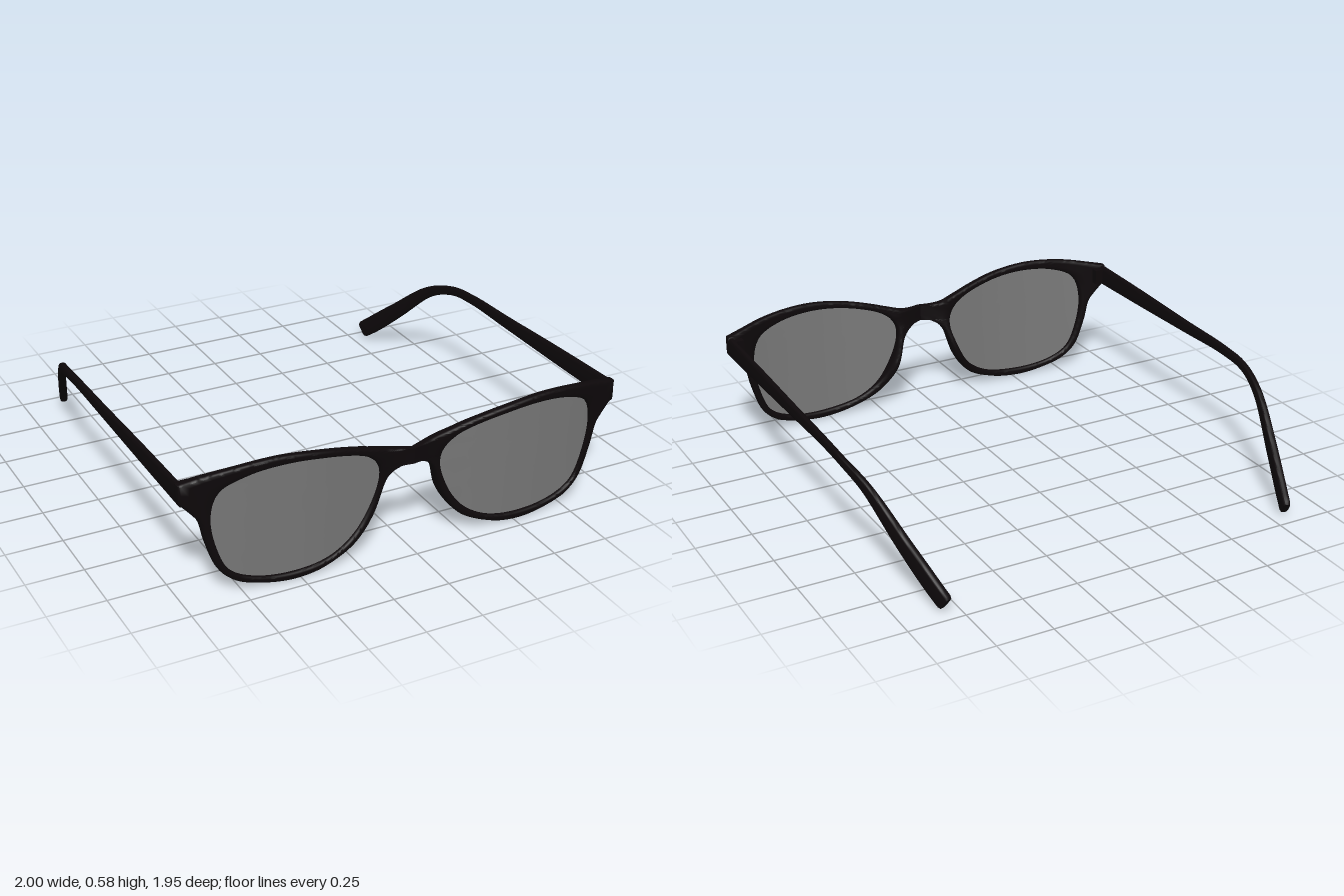
import * as THREE from 'three';
import { toCreasedNormals } from 'three/addons/utils/BufferGeometryUtils.js';

const V2 = (p) => new THREE.Vector2(p[0], p[1]);
const frameMat = new THREE.MeshStandardMaterial({ color: 0x0d080a });
const lensMat = new THREE.MeshStandardMaterial({ color: 0x787878, side: THREE.DoubleSide });
const centre = new THREE.Vector2(0.5, 0.38); // middle of the lens opening

// Smooth table lookup: z as a function of x
function lookup(points) {
  const pts = new THREE.SplineCurve(points.map(V2)).getPoints(160);
  return (x) => {
    let i = 0;
    while (i < pts.length - 2 && pts[i + 1].x < x) i++;
    const t = (x - pts[i].x) / (pts[i + 1].x - pts[i].x);
    return THREE.MathUtils.lerp(pts[i].y, pts[i + 1].y, THREE.MathUtils.clamp(t, 0, 1));
  };
}
const frontCurve = lookup([[0, 0.95], [0.1, 0.93], [0.2, 0.94], [0.45, 0.965], [0.75, 0.945], [0.92, 0.91], [1, 0.895]]);
const thickCurve = lookup([[0, 0.026], [0.1, 0.04], [0.2, 0.042], [0.45, 0.038], [0.75, 0.036], [1, 0.045]]);
const frontZ = (x, y) => frontCurve(x) + 0.05 * (y - 0.3);
// The back swells into a nose rest beside the bridge
const thickness = (x, y) => thickCurve(x)
  + 0.035 * Math.exp(-(((x - 0.16) / 0.08) ** 2) - ((y - 0.23) / 0.13) ** 2);

// Skin a series of closed rings; side = -1 gives the mirrored part
function loft(rings, side, { closed = false, caps = false, crease = 0.7 } = {}) {
  const n = rings[0].length, pos = [], idx = [];
  const tri = (a, b, c) => (side > 0 ? idx.push(a, b, c) : idx.push(a, c, b));
  rings.flat().forEach((p) => pos.push(p.x * side, p.y, p.z));
  const last = closed ? rings.length : rings.length - 1;
  for (let i = 0; i < last; i++) {
    for (let j = 0; j < n; j++) {
      const k = (j + 1) % n, a = i * n, b = ((i + 1) % rings.length) * n;
      tri(a + j, a + k, b + k);
      tri(a + j, b + k, b + j);
    }
  }
  if (caps) {
    const e = (rings.length - 1) * n;
    for (let j = 1; j < n - 1; j++) {
      tri(0, j + 1, j);
      tri(e, e + j, e + j + 1);
    }
  }
  const geo = new THREE.BufferGeometry();
  geo.setAttribute('position', new THREE.Float32BufferAttribute(pos, 3));
  geo.setIndex(idx);
  return toCreasedNormals(geo, crease);
}

// Lens opening, counterclockwise
const opening = new THREE.CatmullRomCurve3([
  [0.14, 0.35], [0.18, 0.235], [0.25, 0.13], [0.36, 0.062], [0.545, 0.037], [0.705, 0.058], [0.8, 0.11],
  [0.852, 0.225], [0.872, 0.37], [0.84, 0.475], [0.73, 0.528], [0.545, 0.546], [0.33, 0.517], [0.2, 0.47], [0.148, 0.415],
].map((p) => new THREE.Vector3(p[0], p[1], 0)), true).getPoints(160).slice(0, -1).map((p) => new THREE.Vector2(p.x, p.y));

// Outer edge of half the frame, counterclockwise from under the bridge
const outline = [
  ...new THREE.SplineCurve([
    [0, 0.4], [0.05, 0.391], [0.107, 0.34], [0.16, 0.195], [0.25, 0.085], [0.385, 0.025], [0.5, 0.005], [0.6, 0.008],
    [0.72, 0.033], [0.79, 0.065], [0.85, 0.13], [0.893, 0.25], [0.915, 0.34], [0.945, 0.385], [1, 0.445],
  ].map(V2)).getSpacedPoints(130),
  V2([1, 0.485]),
  ...new THREE.SplineCurve([
    [1, 0.525], [0.83, 0.562], [0.68, 0.581], [0.55, 0.582], [0.4, 0.562], [0.27, 0.531], [0.17, 0.5], [0.09, 0.478], [0, 0.47],
  ].map(V2)).getSpacedPoints(90),
  V2([0, 0.447]), V2([0, 0.423]),
];

// Point of the opening on the ray from the centre towards p
function openingTowards(p) {
  const d = p.clone().sub(centre);
  for (let i = 0; i < opening.length; i++) {
    const a = opening[i], b = opening[(i + 1) % opening.length];
    const ca = d.cross(a.clone().sub(centre)), cb = d.cross(b.clone().sub(centre));
    if (ca <= 0 && cb > 0 && a.clone().sub(centre).dot(d) > 0) return a.clone().lerp(b, ca / (ca - cb));
  }
  return p.clone();
}

// Half frame: a rounded section swept round the opening
function halfFrame(side) {
  const rings = outline.map((out) => {
    const inn = openingTowards(out), len = inn.distanceTo(out);
    const r = Math.min(0.012, len / 3), ro = r * THREE.MathUtils.smoothstep(out.x, 0, 0.05);
    const mid = [0, 0.25, 0.5, 0.75, 1].map((t) => [r + (len - r - ro) * t, 0]);
    const edge = ro > 0 ? 0.3 : 0;
    const front = [[0, 0.3], [r * 0.3, 0.09], ...mid, [len - ro * 0.3, 0.09 * (edge / 0.3)], [len, edge]];
    const section = [...front, ...front.map(([d, k]) => [d, 1 - k]).reverse()];
    return section.map(([d, k]) => {
      const p = inn.clone().lerp(out, d / len);
      return new THREE.Vector3(p.x, p.y, frontZ(p.x, p.y) - k * thickness(p.x, p.y));
    });
  });
  return loft(rings, side, { closed: true, crease: 0.9 });
}

// Lens: rings shrinking to the centre, following the frame's curve
function lens(side) {
  const rings = [1.01, 0.85, 0.65, 0.45, 0.25, 0.001].map((s) => opening.map((o) => {
    const p = centre.clone().lerp(o, s);
    return new THREE.Vector3(p.x, p.y, frontZ(p.x, p.y) - 0.018);
  }));
  return loft(rings, side, { crease: 1.2 });
}

// Temple arm: rounded section along a path bending down and inwards
function temple(side) {
  const path = new THREE.CatmullRomCurve3([
    [0.985, 0.478, 0.9], [0.985, 0.474, 0.5], [0.985, 0.469, 0.1], [0.985, 0.466, -0.2], [0.978, 0.448, -0.37],
    [0.945, 0.388, -0.53], [0.882, 0.215, -0.74], [0.832, 0.09, -0.89], [0.815, 0.052, -0.94],
  ].map((p) => new THREE.Vector3(...p)), false, 'centripetal');
  const height = lookup([[0, 0.094], [0.2, 0.08], [0.4, 0.058], [0.58, 0.042], [0.68, 0.044], [0.8, 0.066], [0.93, 0.084], [1, 0.082]]);
  const width = lookup([[0, 0.026], [0.5, 0.024], [0.7, 0.028], [0.85, 0.036], [1, 0.036]]);
  const up = new THREE.Vector3(0, 1, 0), rings = [], steps = 60, n = 20;
  const addRing = (u, scale, shift) => {
    const t = path.getTangentAt(u), c = path.getPointAt(u).addScaledVector(t, shift);
    const w = t.clone().cross(up).normalize(), h = w.clone().cross(t);
    rings.push(Array.from({ length: n }, (_, j) => {
      const a = (j / n) * Math.PI * 2, s = Math.sin(a), k = Math.cos(a);
      return c.clone()
        .addScaledVector(w, Math.sign(s) * Math.sqrt(Math.abs(s)) * width(u) * scale / 2)
        .addScaledVector(h, Math.sign(k) * Math.sqrt(Math.abs(k)) * height(u) * scale / 2);
    }));
  };
  for (let i = 0; i <= steps; i++) addRing(i / steps, 1, 0);
  addRing(1, 0.85, 0.012); // rounded tip
  return loft(rings, side, { caps: true });
}

export function createModel() {
  const model = new THREE.Group();
  model.name = 'glasses';
  for (const [side, label] of [[1, 'left'], [-1, 'right']]) {
    const add = (name, geo, mat) => {
      const mesh = new THREE.Mesh(geo, mat);
      mesh.name = label + name;
      model.add(mesh);
      return mesh;
    };
    add('FrameHalf', halfFrame(side), frameMat);
    add('Lens', lens(side), lensMat);
    add('Temple', temple(side), frameMat);
    add('Hinge', new THREE.BoxGeometry(0.045, 0.07, 0.05), frameMat).position.set(0.955 * side, 0.478, 0.865);
  }
  return model;
}
